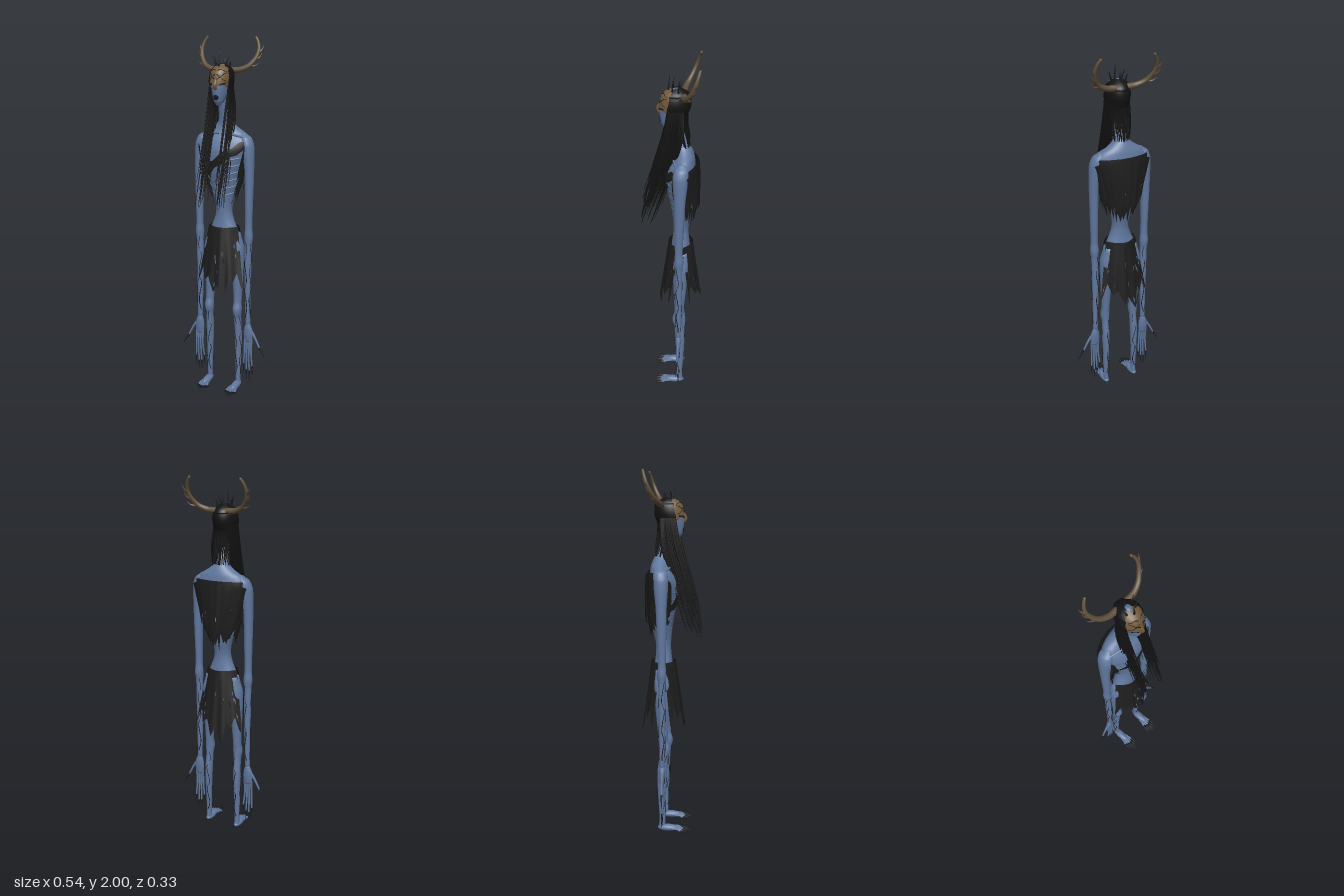
import * as THREE from 'three';
import { mergeVertices, mergeGeometries } from 'three/addons/utils/BufferGeometryUtils.js';

const V = (x, y, z) => new THREE.Vector3(x, y, z);
const mat = (name, color, side = THREE.FrontSide) =>
  Object.assign(new THREE.MeshStandardMaterial({ color, side }), { name });

function makeRandom(seed) {
  return () => ((seed = (seed * 16807) % 2147483647) / 2147483647);
}

// Smooth section [x, z, rx, rz] at height y; rows are [y, x, z, rx, rz], rising.
function section(rows, y) {
  let i = 0;
  while (i < rows.length - 2 && y > rows[i + 1][0]) i++;
  const a = rows[Math.max(i - 1, 0)], b = rows[i], c = rows[i + 1], d = rows[Math.min(i + 2, rows.length - 1)];
  const f = THREE.MathUtils.clamp((y - b[0]) / (c[0] - b[0]), 0, 1);
  return [1, 2, 3, 4].map(k => b[k] + 0.5 * f * (c[k] - a[k] + f * (2 * a[k] - 5 * b[k] + 4 * c[k] - d[k]
    + f * (3 * (b[k] - c[k]) + d[k] - a[k]))));
}

// Point on a lofted body; angle 0 faces +z, 90 degrees faces +x.
function onBody(rows, deg, y, off = 0) {
  const [x, z, rx, rz] = section(rows, y), a = deg * Math.PI / 180;
  return V(x + Math.sin(a) * (rx + off), y, z + Math.cos(a) * (rz + off));
}

// Closed smooth body through elliptical sections.
function loft(rows, sides = 20, steps = 4) {
  const n = (rows.length - 1) * steps;
  const g = new THREE.CylinderGeometry(1, 1, 1, sides, n), p = g.attributes.position;
  for (let i = 0; i < p.count; i++) {
    const t = (p.getY(i) + 0.5) * (rows.length - 1), k = Math.min(Math.floor(t + 1e-6), rows.length - 2);
    const y = rows[k][0] + (t - k) * (rows[k + 1][0] - rows[k][0]);
    const [x, z, rx, rz] = section(rows, y);
    p.setXYZ(i, x + p.getX(i) * rx, y, z + p.getZ(i) * rz);
  }
  g.deleteAttribute('uv'); g.deleteAttribute('normal');
  const m = mergeVertices(g, 1e-5);
  m.computeVertexNormals();
  return m;
}

// Tube whose radius runs from r0 to r1.
function taper(points, r0, r1, segs = 8, sides = 6) {
  const path = new THREE.CatmullRomCurve3(points);
  const g = new THREE.TubeGeometry(path, segs, 1, sides), p = g.attributes.position, v = V();
  for (let i = 0; i < p.count; i++) {
    const t = Math.floor(i / (sides + 1)) / segs, c = path.getPointAt(t);
    v.fromBufferAttribute(p, i).sub(c).multiplyScalar(r0 + (r1 - r0) * t).add(c);
    p.setXYZ(i, v.x, v.y, v.z);
  }
  return g;
}

// Open sheet from fn(u, v), leaving out cells where hole(i, j) is true.
function sheet(nu, nv, fn, hole = () => false) {
  const pos = [], idx = [], w = nu + 1;
  for (let j = 0; j <= nv; j++) for (let i = 0; i <= nu; i++) pos.push(...fn(i / nu, j / nv).toArray());
  for (let j = 0; j < nv; j++) for (let i = 0; i < nu; i++) {
    const a = j * w + i;
    if (!hole(i, j)) idx.push(a, a + w, a + 1, a + 1, a + w, a + w + 1);
  }
  const g = new THREE.BufferGeometry();
  g.setAttribute('position', new THREE.Float32BufferAttribute(pos, 3));
  g.setIndex(idx);
  g.computeVertexNormals();
  return g;
}

const TORSO = [
  [0.79, 0, -0.045, 0.04, 0.03], [0.88, 0, -0.045, 0.095, 0.05], [0.96, 0, -0.045, 0.08, 0.05],
  [1.02, 0, -0.045, 0.055, 0.043], [1.07, 0, -0.046, 0.046, 0.042], [1.13, 0, -0.05, 0.056, 0.05],
  [1.2, 0, -0.052, 0.08, 0.061], [1.3, 0, -0.045, 0.105, 0.073], [1.4, 0, -0.042, 0.135, 0.078],
  [1.46, 0, -0.05, 0.146, 0.068], [1.5, 0, -0.06, 0.115, 0.052], [1.53, 0, -0.06, 0.068, 0.042],
  [1.56, 0, -0.052, 0.035, 0.034], [1.62, 0, -0.035, 0.027, 0.028], [1.7, 0, -0.02, 0.027, 0.028]];
const HEAD = [
  [1.65, 0, 0.032, 0.012, 0.012], [1.67, 0, 0.022, 0.026, 0.034], [1.7, 0, 0.008, 0.037, 0.055],
  [1.74, 0, -0.002, 0.047, 0.068], [1.78, 0, -0.01, 0.054, 0.072], [1.82, 0, -0.014, 0.05, 0.066],
  [1.845, 0, -0.016, 0.036, 0.047], [1.86, 0, -0.018, 0.006, 0.008]];
const ARM = [
  [0.4, 0.152, -0.04, 0.014, 0.013], [0.5, 0.15, -0.04, 0.015, 0.015], [0.7, 0.148, -0.04, 0.019, 0.019],
  [0.88, 0.149, -0.04, 0.02, 0.02], [0.93, 0.15, -0.041, 0.024, 0.025], [0.98, 0.15, -0.04, 0.02, 0.021],
  [1.12, 0.15, -0.041, 0.022, 0.025], [1.3, 0.149, -0.043, 0.026, 0.03], [1.43, 0.138, -0.046, 0.034, 0.04],
  [1.475, 0.125, -0.05, 0.03, 0.036], [1.5, 0.11, -0.053, 0.012, 0.016]];
const HAND = [
  [0.3, 0.155, -0.04, 0.02, 0.009], [0.34, 0.155, -0.04, 0.028, 0.014], [0.38, 0.154, -0.04, 0.024, 0.016],
  [0.41, 0.152, -0.04, 0.014, 0.013]];
const LEG = [
  [0.02, 0.091, -0.048, 0.014, 0.018], [0.08, 0.091, -0.045, 0.014, 0.017], [0.2, 0.091, -0.048, 0.017, 0.021],
  [0.35, 0.09, -0.047, 0.021, 0.027], [0.44, 0.088, -0.038, 0.02, 0.025], [0.49, 0.088, -0.032, 0.026, 0.03],
  [0.54, 0.087, -0.04, 0.023, 0.026], [0.7, 0.085, -0.045, 0.031, 0.036], [0.85, 0.086, -0.047, 0.033, 0.042],
  [0.94, 0.07, -0.048, 0.025, 0.035]];
// Ragged skirt hem as [u, y]
const HEM = [[-1, 0.63], [-0.8, 0.74], [-0.6, 0.67], [-0.4, 0.7], [-0.12, 0.61], [0.02, 0.66], [0.12, 0.63],
  [0.3, 0.575], [0.5, 0.7], [0.62, 0.66], [0.82, 0.73], [0.95, 0.63], [1, 0.66]];

export function createModel() {
  const root = new THREE.Group(), rnd = makeRandom(77);
  const skin = mat('blueSkin', 0x60779d), cloth = mat('blackCloth', 0x1d1d1e, THREE.DoubleSide);
  const hairMat = mat('blackHair', 0x131314, THREE.DoubleSide), horn = mat('antlerBrown', 0x5f503b);
  const maskMat = mat('maskBrown', 0x715a3a, THREE.DoubleSide), dark = mat('darkClaw', 0x1a1b1f, THREE.DoubleSide);
  const add = (name, geo, m, parent = root) => {
    const mesh = new THREE.Mesh(geo, m);
    mesh.name = name;
    parent.add(mesh);
    return mesh;
  };
  add('torso', loft(TORSO, 32), skin);
  add('head', loft(HEAD, 28), skin);

  // Face: mask, nose, mouth, eyes, mask cracks
  add('mask', sheet(24, 12, (u, v) => {
    const a = -75 + 150 * u;
    return onBody(HEAD, a, 1.857 - v * (0.105 + 0.01 * Math.cos(a * 0.1)), 0.005);
  }), maskMat);
  add('nose', taper([V(0, 1.785, 0.06), V(0, 1.755, 0.075), V(0, 1.735, 0.066)], 0.006, 0.011), maskMat);
  add('mouth', sheet(8, 4, (u, v) => onBody(HEAD, -24 + 48 * u,
    1.692 + (v - 0.5) * -0.028 * Math.sin(Math.PI * (0.12 + 0.76 * u)), 0.003)), dark);
  for (const s of [-1, 1]) {
    add('eye', sheet(6, 2, (u, v) => onBody(HEAD, s * (18 + 34 * u), 1.763 - v * 0.009 + u * 0.006, 0.009)), dark);
    for (const [y, k] of [[1.785, 0.012], [1.81, -0.01], [1.83, 0.006]])
      add('maskCrack', taper([0, 1, 2, 3].map(i => onBody(HEAD, s * (6 + 17 * i), y + k * Math.sin(i * 1.7), 0.006)),
        0.0025, 0.001, 8, 4), dark);
  }
  // Crown thorns
  [[0, 0.02, 0.92, 0], [0.025, 0, 0.9, 0.02], [-0.025, 0, 0.9, -0.02], [0.035, -0.03, 0.885, 0.016],
    [-0.035, -0.03, 0.885, -0.016], [0, -0.04, 0.9, 0]].forEach(([x, z, y, lean]) =>
    add('thorn', taper([V(x, 1.835, z), V(x + lean * 0.4, 1.87, z), V(x + lean, 1 + y, z - 0.006)], 0.007, 0.0008), dark));

  // Hair cap and hanging strands
  add('hairCap', sheet(28, 14, (u, v) => {
    const a = 68 + 224 * u, y = 1.862 - 0.16 * v;
    return onBody(HEAD, a, y, 0.008 + 0.006 * v);
  }), hairMat);
  const strands = [];
  for (const s of [-1, 1]) for (let i = 0; i < 44; i++) {
    const f = i / 43, j = rnd(), end = 1.12 + 0.36 * rnd() ** 1.3;
    const zAt = y => THREE.MathUtils.lerp(-0.06, 0.04, f) + (1.65 - y) * (0.24 + 0.03 * f) + (1.65 - y) ** 2 * 0.1;
    const x = y => s * (0.052 + 0.014 * (j - 0.5) + 0.02 * (1.7 - y) * (j * 2 - 0.6));
    const pts = [onBody(HEAD, s * (135 - 65 * f), 1.83, 0.006), onBody(HEAD, s * (130 - 60 * f), 1.75, 0.008)];
    for (const y of [1.62, 1.62 + (end - 1.62) * 0.5, end]) pts.push(V(x(y), y, Math.min(zAt(y), 0.165)));
    strands.push(taper(pts, 0.0062, 0.0012, 14, 4));
  }
  for (let i = 0; i < 26; i++) {
    const a = 110 + 140 * i / 25, end = 1.53 + 0.07 * rnd();
    strands.push(taper([onBody(HEAD, a, 1.82, 0.006), onBody(HEAD, a, 1.72, 0.012),
      V(Math.sin(a * Math.PI / 180) * 0.045, end, -0.045 + Math.cos(a * Math.PI / 180) * 0.045)], 0.008, 0.002, 8, 4));
  }
  add('hairStrands', mergeGeometries(strands), hairMat);

  // Ribs and breastbone
  const ribs = [];
  for (const s of [-1, 1]) for (let k = 0; k < 6; k++)
    ribs.push(taper([0, 1, 2, 3, 4].map(i => onBody(TORSO, s * (22 + 24 * i), 1.16 + 0.04 * k + 0.007 * i, -0.002)),
      0.005, 0.004, 12, 6));
  add('ribs', mergeGeometries(ribs), skin);

  // Limbs, antlers, hands and feet, mirrored
  for (const s of [-1, 1]) {
    const side = new THREE.Group(), mir = (x, y, z) => V(s * x, y, z);
    side.name = s > 0 ? 'leftLimbs' : 'rightLimbs';
    root.add(side);
    const flip = rows => rows.map(([y, x, ...r]) => [y, s * x, ...r]);
    add('arm', loft(flip(ARM), 16), skin, side);
    add('hand', loft(flip(HAND), 14), skin, side);
    add('leg', loft(flip(LEG), 18), skin, side);
    add('collarbone', taper([mir(0.012, 1.5, -0.006), mir(0.06, 1.495, -0.007), mir(0.12, 1.48, -0.025)], 0.007, 0.006), skin, side);
    for (let k = 0; k < 4; k++) {
      const x = 0.135 + 0.0135 * k, low = [0.15, 0.115, 0.11, 0.14][k], xe = 0.127 + 0.018 * k;
      add('finger', taper([mir(x, 0.325, -0.04), mir(x, 0.24, -0.034), mir(xe, low, -0.04)], 0.0075, 0.0045), skin, side);
      add('fingerClaw', taper([mir(xe, low + 0.008, -0.04), mir(xe, low - 0.03, -0.04), mir(xe, low - 0.06, -0.043)], 0.0055, 0.0006), dark, side);
    }
    add('thumb', taper([mir(0.165, 0.38, -0.04), mir(0.195, 0.335, -0.038), mir(0.228, 0.27, -0.036)], 0.009, 0.005), skin, side);
    add('thumbClaw', taper([mir(0.225, 0.276, -0.036), mir(0.25, 0.235, -0.034), mir(0.268, 0.2, -0.028)], 0.0055, 0.0006), dark, side);

    // Foot and toes
    const foot = new THREE.SphereGeometry(1, 18, 12).scale(0.023, 0.019, 0.06).translate(s * 0.091, 0.023, -0.013);
    add('foot', foot, skin, side);
    for (let k = 0; k < 5; k++) {
      const f = k - 2, x0 = 0.09 + f * 0.008, x1 = 0.089 + f * 0.0145, z = 0.074 - Math.abs(f) * 0.007;
      add('toe', taper([mir(x0, 0.022, 0.012), mir((x0 + x1) / 2, 0.021, 0.045), mir(x1, 0.012, z)], 0.009, 0.006), skin, side);
      add('toeClaw', taper([mir(x1, 0.012, z - 0.006), mir(x1, 0.014, z + 0.018), mir(x1, 0.004, z + 0.053 - Math.abs(f) * 0.006)], 0.007, 0.0006), dark, side);
    }
    // Dark veins
    for (const [rows, y0, y1] of [[flip(ARM), 0.45, 0.9], [flip(LEG), 0.08, 0.46]])
      for (const base of [-20, 70, 200])
        add('vein', taper(Array.from({ length: 9 }, (_, i) =>
          onBody(rows, s * (base + 26 * Math.sin(i * 2.1 + base)), y0 + (y1 - y0) * i / 8, 0)), 0.0028, 0.0015, 32, 4), dark, side);

    // Antler with tines
    add('antler', taper([mir(0.03, 1.825, -0.058), mir(0.08, 1.83, -0.06), mir(0.125, 1.85, -0.075), mir(0.155, 1.89, -0.098),
      mir(0.165, 1.93, -0.115), mir(0.156, 1.97, -0.128), mir(0.142, 1.993, -0.135)], 0.017, 0.007, 28, 10), horn, side);
    add('antlerTip', new THREE.SphereGeometry(0.007, 10, 8).translate(s * 0.142, 1.993, -0.135), horn, side);
    for (const [a, b, c] of [[[0.12, 1.85, -0.075], [0.155, 1.85, -0.09], [0.178, 1.868, -0.1]],
      [[0.148, 1.88, -0.092], [0.172, 1.893, -0.11], [0.183, 1.92, -0.12]],
      [[0.162, 1.915, -0.108], [0.178, 1.93, -0.122], [0.188, 1.955, -0.132]]])
      add('tine', taper([mir(...a), mir(...b), mir(...c)], 0.009, 0.001), horn, side);
  }

  // Shoulder sash
  add('sash', sheet(40, 4, (u, v) => {
    const a = 92 - 184 * u, x = Math.sin(a * Math.PI / 180);
    return onBody(TORSO, a, 1.355 + 0.095 * x + (0.5 - v) * (0.055 + 0.012 * Math.sin(u * 31)), 0.008);
  }), cloth);
  // Torn back wrap in two layers
  for (const [from, to, off, top, base] of [[62, 305, 0.008, 1.475, 1.15], [95, 265, 0.019, 1.46, 1.22]]) {
    const ends = Array.from({ length: 41 }, () => base + 0.11 * (rnd() - 0.5)), lift = ends.map(() => 0.01 * rnd());
    add('backWrap', sheet(40, 12, (u, v) => {
      const i = Math.round(u * 40), edge = Math.abs(u - 0.5) * 2;
      const y0 = top - 0.05 * edge ** 4;
      return onBody(TORSO, from + (to - from) * u, y0 + (ends[i] - y0) * v, off + lift[i] * (0.3 + v));
    }, (i, j) => j > 4 && rnd() < 0.06), cloth);
  }

  // Skirt panels, open at the hips
  const hemAt = u => {
    let i = 0;
    while (i < HEM.length - 2 && u > HEM[i + 1][0]) i++;
    const [a, b] = [HEM[i], HEM[i + 1]];
    return a[1] + (b[1] - a[1]) * (u - a[0]) / (b[0] - a[0]);
  };
  for (const s of [1, -1]) add(s > 0 ? 'skirtFront' : 'skirtBack', sheet(48, 14, (uu, v) => {
    const u = uu * 2 - 1, y = 0.98 + (hemAt(u * s) - 0.98) * v, t = (0.98 - y) / 0.38;
    const fold = 0.005 * t * Math.sin(u * 14);
    return V(u * (0.088 + 0.06 * t), y, -0.045 + s * (0.067 + 0.05 * t - 0.058 * u * u + fold));
  }, (i, j) => j > 3 && j < 13 && rnd() < 0.025), cloth);
  return root;
}
